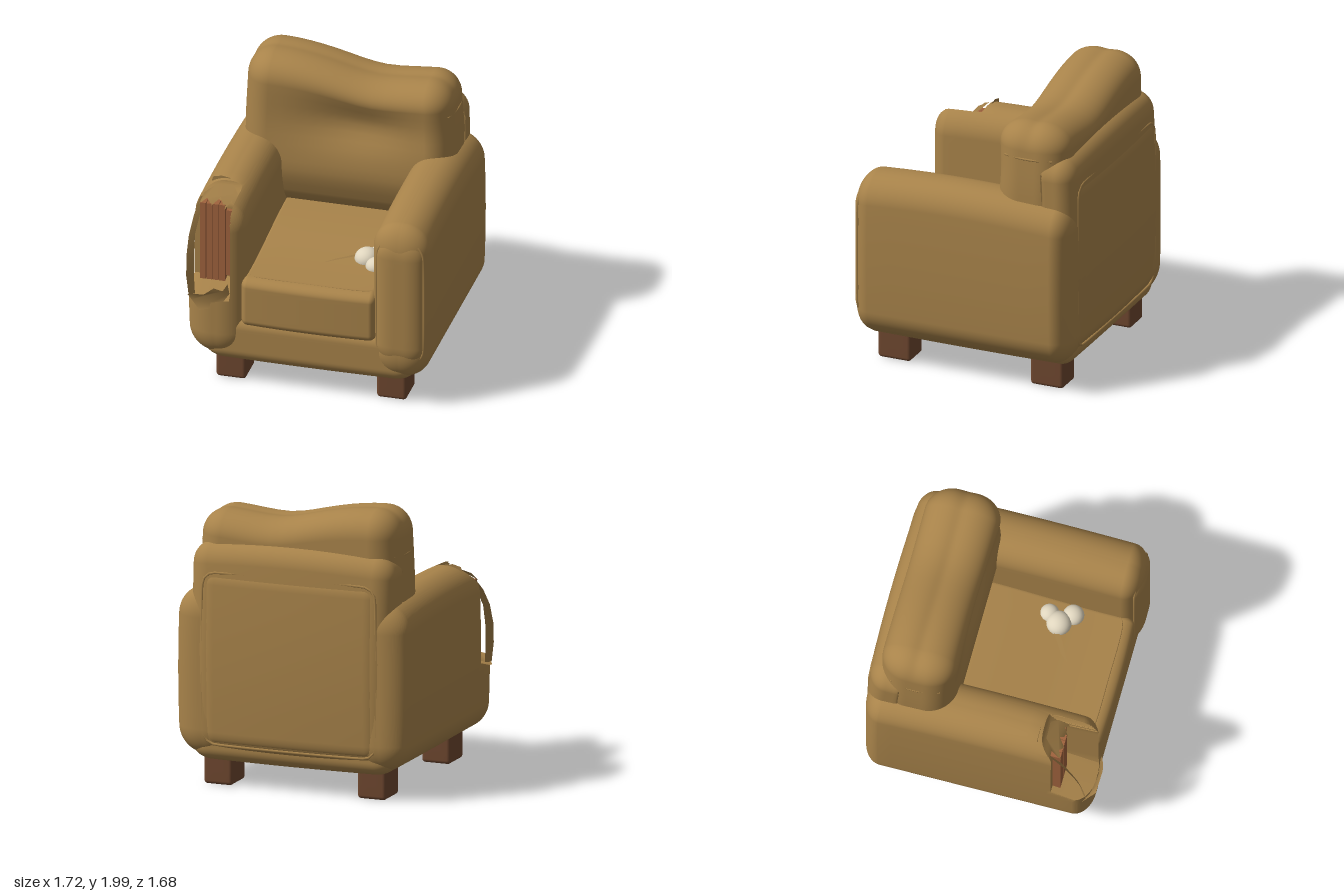
import * as THREE from 'three';
import { mergeVertices, toCreasedNormals } from 'three/addons/utils/BufferGeometryUtils.js';

const mat = (name, color, side = THREE.FrontSide) => {
  const m = new THREE.MeshStandardMaterial({ color, side });
  m.name = name;
  return m;
};
const smooth = THREE.MathUtils.smoothstep;
const bump = (v, centre, width) => Math.exp(-(((v - centre) / width) ** 2));

// Soft box between two corners, with its own corner radius per axis, then bent by a rule.
function cushionGeometry(min, max, radii, deform, seg = 24) {
  const g = new THREE.BoxGeometry(2, 2, 2, seg, seg, seg);
  g.deleteAttribute('uv');
  g.deleteAttribute('normal');
  const pos = g.attributes.position;
  const p = new THREE.Vector3();
  for (let i = 0; i < pos.count; i++) {
    const t = [pos.getX(i), pos.getY(i), pos.getZ(i)];
    const inner = [], d = [];
    t.forEach((v, k) => {
      const flat = (max[k] - min[k]) / 2 - radii[k];
      const a = Math.abs(v);
      inner[k] = a < 1 / 3 ? v * 3 * flat : Math.sign(v) * flat;
      d[k] = a < 1 / 3 ? 0 : Math.sign(v) * (a - 1 / 3) * 1.5;
    });
    const len = Math.hypot(...d) || 1;
    p.fromArray(inner.map((c, k) => (min[k] + max[k]) / 2 + c + (d[k] / len) * radii[k]));
    if (deform) deform(p);
    pos.setXYZ(i, p.x, p.y, p.z);
  }
  const merged = mergeVertices(g, 1e-5);
  merged.computeVertexNormals();
  return merged;
}

// Flat ribbon through points, widened along one direction.
function ribbonGeometry(points, widths, across) {
  const verts = [], index = [];
  points.forEach((q, i) => {
    for (const s of [-0.5, 0.5]) verts.push(...q.map((v, k) => v + across[k] * widths[i] * s));
    if (i) index.push(2 * i - 2, 2 * i - 1, 2 * i, 2 * i - 1, 2 * i + 1, 2 * i);
  });
  const g = new THREE.BufferGeometry();
  g.setAttribute('position', new THREE.Float32BufferAttribute(verts, 3));
  g.setIndex(index);
  g.computeVertexNormals();
  return g;
}

const seamGeometry = (points, thick, closed = false) => new THREE.TubeGeometry(
  new THREE.CatmullRomCurve3(points.map((q) => new THREE.Vector3(...q)), closed, 'centripetal'),
  closed ? 96 : 32, thick, 6, closed);

// Piping around a rounded rectangle, its depth given by a rule.
function pipingGeometry(x0, x1, y0, y1, r, depth, thick) {
  const pts = [];
  [[x1 - r, y1 - r], [x0 + r, y1 - r], [x0 + r, y0 + r], [x1 - r, y0 + r]].forEach(([cx, cy], q) => {
    for (let i = 0; i <= 5; i++) {
      const a = (q + i / 5) * Math.PI / 2;
      const x = cx + r * Math.cos(a), y = cy + r * Math.sin(a);
      pts.push([x, y, depth(x, y)]);
    }
  });
  return seamGeometry(pts, thick, true);
}

export function createModel() {
  const group = new THREE.Group();
  const fabric = mat('tan fabric', 0xa8834a);
  const torn = mat('torn fabric', 0xa07d47, THREE.DoubleSide);
  const legWood = mat('dark leg wood', 0x6e472f);
  const frameWood = mat('frame wood', 0xa0633d);
  const fluff = mat('cream stuffing', 0xdfd5be);
  const add = (name, geometry, material) => {
    const m = new THREE.Mesh(geometry, material);
    m.name = name;
    group.add(m);
    return m;
  };

  // Legs
  for (const x of [-0.565, 0.565]) for (const z of [0.55, -0.585]) {
    add('leg', cushionGeometry([x - 0.105, 0, z - 0.122], [x + 0.105, 0.28, z + 0.122],
      [0.025, 0.025, 0.025], null, 9), legWood);
  }

  // Base, with a sagging underside
  add('base', cushionGeometry([-0.74, 0.18, -0.78], [0.74, 0.52, 0.765], [0.14, 0.09, 0.09], (p) => {
    if (p.y < 0.3) p.y -= 0.035 * (1 - (p.x / 0.74) ** 2) * (1 - (p.z / 0.8) ** 2);
  }), fabric);

  // Seat cushion, rising slightly to the back
  add('seatCushion', cushionGeometry([-0.48, 0.455, -0.5], [0.48, 0.825, 0.785], [0.05, 0.06, 0.08], (p) => {
    if (p.y > 0.6) p.y += 0.06 * smooth(-p.z, -0.6, 0.3);
    p.z -= 0.015 * (p.x / 0.48) ** 2 * smooth(p.z, 0.3, 0.7);
  }), fabric);
  add('seatSeam', seamGeometry([
    [-0.45, 0.818, 0.67], [-0.4, 0.823, 0.695], [0, 0.823, 0.705], [0.4, 0.823, 0.695], [0.45, 0.818, 0.67],
  ], 0.006), fabric);

  // Arms: the left one is whole, the right one has its front outer corner torn out
  const armShape = (p) => {
    const s = Math.sign(p.x);
    if (p.y > 1) p.y -= 0.035 * (p.z / 0.8) ** 2;
    if (Math.abs(p.x) > 0.65) p.x += s * 0.018 * (1 - ((p.y - 0.8) / 0.6) ** 2);
  };
  const armRadii = [0.185, 0.19, 0.13];
  add('leftArm', cushionGeometry([0.445, 0.21, -0.81], [0.84, 1.405, 0.8], armRadii, armShape), fabric);
  add('rightArm', toCreasedNormals(cushionGeometry([-0.84, 0.21, -0.81], [-0.445, 1.405, 0.8], armRadii, (p) => {
    armShape(p);
    if (p.x < -0.545 && p.y > 0.7) p.z = Math.min(p.z, 0.53 - 0.1 * smooth(p.y, 1.24, 1.4));
  }, 48), 0.7), fabric);

  // Stitched panel on the left arm front
  add('armPanel', cushionGeometry([0.48, 0.33, 0.66], [0.82, 1.285, 0.806], [0.13, 0.14, 0.07]), fabric);
  add('armPiping', pipingGeometry(0.488, 0.812, 0.338, 1.277, 0.12, () => 0.756, 0.009), fabric);

  // Rear frame with its stitched panel, both bowed outwards
  const rearBow = (x, y) => 0.02 * (x / 0.7) ** 2 + 0.02 * ((y - 0.95) / 0.65) ** 2;
  const bowRear = (p) => {
    if (p.z < -0.6) p.z += rearBow(p.x, p.y);
  };
  add('backFrame', cushionGeometry([-0.745, 0.23, -0.835], [0.745, 1.72, -0.52], [0.14, 0.14, 0.12], (p) => {
    bowRear(p);
    if (p.y > 1.5) p.y -= 0.03 * (p.x / 0.745) ** 2;
  }), fabric);
  add('backPanel', cushionGeometry([-0.63, 0.31, -0.842], [0.63, 1.5, -0.74], [0.08, 0.08, 0.03], bowRear), fabric);
  add('backPiping', pipingGeometry(-0.635, 0.635, 0.305, 1.505, 0.09,
    (x, y) => -0.832 + rearBow(x, y), 0.009), fabric);

  // Back cushion: slumped top edge, hollow front, tucked-in bottom, faint crease along the top
  add('backCushion', cushionGeometry([-0.745, 0.82, -0.73], [0.745, 1.92, -0.2], [0.19, 0.17, 0.2], (p) => {
    const top = smooth(p.y, 1.35, 1.9);
    const front = smooth(p.z, -0.5, -0.25);
    const hollow = bump(p.x, 0.06, 0.42) * bump(p.y, 1.56, 0.17);
    const under = 1 - smooth(p.y, 0.82, 1.2);
    p.x *= 1 - 0.03 * smooth(p.y, 1.4, 1.9);
    p.z -= front * (0.085 * hollow + 0.1 * under);
    p.y += top * (0.085 * (1 - smooth(p.x, -0.55, 0.2)) - 0.035 * bump(p.x, 0.2, 0.28) - 0.01);
    p.y -= top * 0.006 * bump(p.z, -0.47, 0.04);
  }, 36), fabric);
  for (const s of [-1, 1]) {
    add('cushionSideSeam', seamGeometry([
      [s * 0.7, 1.685, -0.29], [s * 0.727, 1.685, -0.4], [s * 0.727, 1.685, -0.53], [s * 0.7, 1.685, -0.64],
    ], 0.008), fabric);
  }

  // Exposed boards inside the torn arm
  for (let i = 0; i < 4; i++) {
    const board = add('armBoard', new THREE.BoxGeometry(0.041, 0.59, 0.08), frameWood);
    board.position.set(-0.785 + i * 0.045, 0.985, 0.545);
  }
  add('armBoardBacking', new THREE.BoxGeometry(0.17, 0.57, 0.06), frameWood).position.set(-0.717, 0.985, 0.54);
  add('shortArmBoard', new THREE.BoxGeometry(0.09, 0.5, 0.06), frameWood).position.set(-0.582, 0.98, 0.53);

  // Torn cloth: hanging strip, jagged flaps above and below the hole
  add('hangingStrip', ribbonGeometry([
    [-0.8, 1.29, 0.5], [-0.82, 1.2, 0.6], [-0.835, 1.08, 0.68], [-0.835, 0.94, 0.73],
    [-0.83, 0.8, 0.75], [-0.815, 0.66, 0.76],
  ], [0.06, 0.05, 0.05, 0.06, 0.06, 0.05], [0.7, 0, -0.7]), torn);
  const flap = (name, outline, slope) => {
    const g = new THREE.ShapeGeometry(new THREE.Shape(outline.map((q) => new THREE.Vector2(...q))));
    const pos = g.attributes.position;
    for (let i = 0; i < pos.count; i++) pos.setZ(i, slope(pos.getX(i), pos.getY(i)));
    g.computeVertexNormals();
    add(name, g, torn);
  };
  flap('lowerFlap', [[-0.85, 0.65], [-0.81, 0.63], [-0.75, 0.57], [-0.68, 0.59], [-0.67, 0.64], [-0.58, 0.66],
    [-0.54, 0.72], [-0.55, 0.8], [-0.58, 0.75], [-0.64, 0.77], [-0.71, 0.71], [-0.78, 0.7]],
  (x, y) => 0.803 + 0.035 * smooth(y, 0.6, 0.76) - 0.9 * Math.max(0, -0.78 - x) - 0.6 * Math.max(0, x + 0.6));
  flap('upperFlap', [[-0.81, 1.27], [-0.76, 1.31], [-0.72, 1.27], [-0.67, 1.32], [-0.63, 1.25], [-0.59, 1.31],
    [-0.55, 1.27], [-0.56, 1.34], [-0.6, 1.375], [-0.72, 1.37], [-0.79, 1.33]],
  (x, y) => 0.46 + 0.13 * smooth(1.38 - y, 0, 0.1));
  flap('raisedFlap', [[-0.77, 1.36], [-0.62, 1.36], [-0.64, 1.4], [-0.7, 1.41], [-0.76, 1.395]], () => 0.41);

  // Slit in the seat with stuffing coming out
  add('seatSlit', ribbonGeometry([
    [0.03, 0.846, 0.41], [0.09, 0.85, 0.36], [0.16, 0.856, 0.32], [0.23, 0.86, 0.27],
  ], [0.005, 0.03, 0.035, 0.04], [0.5, 0.2, 0.8]), torn);
  for (const [x, y, z, r] of [[0.29, 0.845, 0.28, 0.083], [0.345, 0.84, 0.2, 0.063], [0.375, 0.835, 0.36, 0.07]]) {
    const ball = add('stuffing', new THREE.SphereGeometry(r, 24, 16), fluff);
    ball.position.set(x, y, z);
    ball.scale.set(1.05, 0.92, 1.05);
  }

  return group;
}
